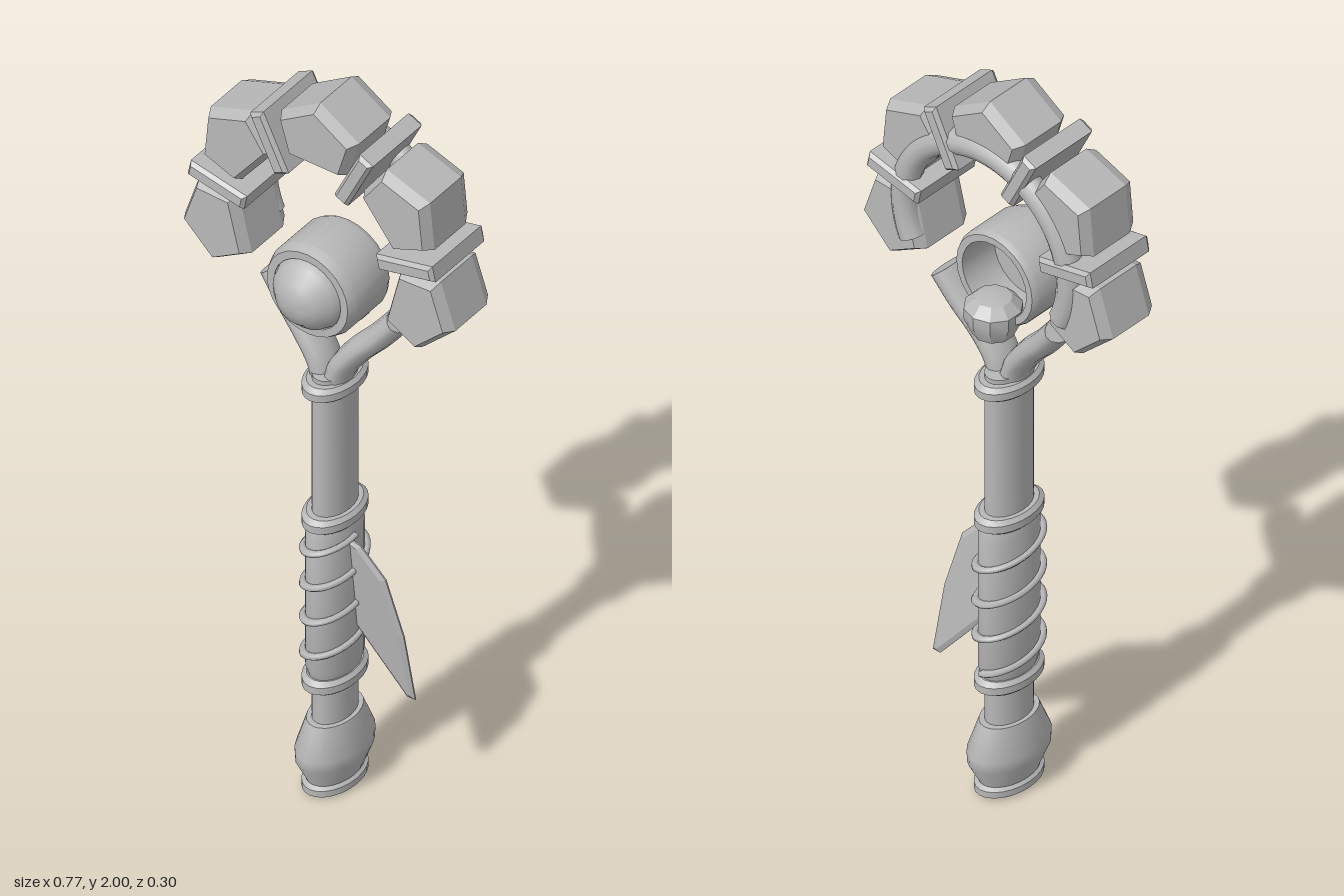
import * as THREE from 'three';
import { toCreasedNormals } from 'three/addons/utils/BufferGeometryUtils.js';

const ZC = -0.024; // depth of the staff axis
const stone = new THREE.MeshStandardMaterial({ color: 0xb8b8b8 });
stone.name = 'stone grey';

function part(parent, name, geometry) {
  const mesh = new THREE.Mesh(geometry, stone);
  mesh.name = name;
  parent.add(mesh);
  return mesh;
}

const vec2 = (pts) => pts.map(([a, b]) => new THREE.Vector2(a, b));

function lathe(pts, sides = 24, crease = 0.45) {
  return toCreasedNormals(new THREE.LatheGeometry(vec2(pts), sides), crease);
}

// Bevelled plate that keeps its outline and is centred in depth
function plate(pts, depth, bevelZ, bevelXY) {
  const geo = new THREE.ExtrudeGeometry(new THREE.Shape(vec2(pts)), {
    depth: depth - 2 * bevelZ, bevelEnabled: true, bevelSegments: 1,
    bevelThickness: bevelZ, bevelSize: bevelXY, bevelOffset: -bevelXY,
  });
  geo.translate(0, 0, bevelZ - depth / 2);
  return toCreasedNormals(geo, 0.2);
}

class Helix extends THREE.Curve {
  getPoint(t, target = new THREE.Vector3()) {
    const a = Math.PI + t * 7.5 * Math.PI;
    return target.set(0.06 * Math.sin(a), 0.36 + 0.375 * t, 0.06 * Math.cos(a));
  }
}

export function createModel() {
  const model = new THREE.Group();
  model.name = 'staff';

  // Handle: round parts stretched in depth to an oval section
  const handle = new THREE.Group();
  handle.name = 'handle';
  handle.position.z = ZC;
  handle.scale.z = 1.58;
  model.add(handle);

  part(handle, 'shaft', lathe([[0, 0.18], [0.044, 0.18], [0.044, 1.2], [0, 1.2]]));
  part(handle, 'pommel', lathe([[0, 0.01], [0.053, 0.01], [0.056, 0.035], [0.075, 0.09],
    [0.076, 0.12], [0.054, 0.2], [0, 0.2]]));
  part(handle, 'grip', lathe([[0, 0.33], [0.05, 0.33], [0.056, 0.36], [0.056, 0.74],
    [0.05, 0.77], [0, 0.77]]));
  part(handle, 'gripCord', new THREE.TubeGeometry(new Helix(), 120, 0.008, 6));
  for (const [y, h] of [[0.017, 0.034], [0.316, 0.04], [0.784, 0.04], [1.168, 0.04]]) {
    const b = h / 2;
    part(handle, 'collar', lathe([[0, -b], [0.054, -b], [0.063, -b * 0.5], [0.063, b * 0.5],
      [0.054, b], [0, b]])).position.y = y;
  }

  // Forked arms at the top of the shaft
  for (const s of [-1, 1]) {
    const path = new THREE.CatmullRomCurve3([[0.012, 1.16, 0.004], [0.03, 1.22, 0.003],
      [0.075, 1.285, 0], [0.125, 1.34, -0.005], [0.178, 1.408, -0.01]]
      .map(([x, y, z]) => new THREE.Vector3(s * x, y, z)));
    part(handle, 'forkArm', new THREE.TubeGeometry(path, 16, 0.032, 12));
    const cap = part(handle, 'forkArmEnd', new THREE.CircleGeometry(0.032, 12));
    cap.position.copy(path.getPoint(1));
    cap.quaternion.setFromUnitVectors(new THREE.Vector3(0, 0, 1), path.getTangent(1));
  }

  // Thin leaf blade tied to the left of the grip, leaning backwards as it falls
  const leaf = plate([[0.045, 0.725], [0.08, 0.715], [0.145, 0.64], [0.185, 0.48],
    [0.203, 0.295], [0.18, 0.295], [0.045, 0.46]], 0.018, 0.007, 0.012);
  const p = leaf.attributes.position;
  for (let i = 0; i < p.count; i++) {
    p.setZ(i, p.getZ(i) - 0.015 - (0.72 - p.getY(i)) * 0.106);
  }
  leaf.computeVertexNormals();
  part(model, 'leafBlade', leaf);

  // Crown: five pentagonal stones on an open ring, clasped by four bands
  const crown = new THREE.Group();
  crown.name = 'crown';
  crown.position.set(0, 1.605, -0.028);
  model.add(crown);

  const step = THREE.MathUtils.degToRad(52);
  const block = plate([[0, 0.395], [-0.11, 0.325], [-0.079, 0.22], [0.079, 0.22],
    [0.11, 0.325]], 0.178, 0.028, 0.014);
  const band = plate([[-0.021, 0.192], [0.021, 0.192], [0.021, 0.355], [-0.021, 0.355]],
    0.211, 0.01, 0.008);
  for (let i = -2; i <= 2; i++) part(crown, 'crownStone', block).rotation.z = i * step;
  for (let i = -1.5; i <= 1.5; i++) part(crown, 'crownBand', band).rotation.z = i * step;

  const arc = step * 4.4;
  const ring = part(crown, 'crownRing', new THREE.TorusGeometry(0.257, 0.034, 10, 48, arc));
  ring.rotation.z = Math.PI / 2 - arc / 2;
  ring.position.z = -0.068;

  // Lamp: open-backed barrel with a domed lens in front
  const lamp = new THREE.Group();
  lamp.name = 'lamp';
  lamp.position.y = 1.475;
  model.add(lamp);
  part(lamp, 'lampBarrel', lathe([[0.1, -0.075], [0.118, -0.075], [0.125, -0.06],
    [0.125, 0.06], [0.115, 0.085], [0.095, 0.085], [0.095, 0.03], [0.1, -0.075]])
    .rotateX(Math.PI / 2));
  part(lamp, 'lampLens', lathe([[0, 0.03], [0.096, 0.03], [0.096, 0.075], [0.086, 0.102],
    [0.055, 0.134], [0.028, 0.145], [0, 0.148]], 24, 0.7).rotateX(Math.PI / 2));

  // Faceted seat under the back of the barrel
  part(model, 'lampSeat', lathe([[0, 1.33], [0.05, 1.33], [0.07, 1.375], [0.07, 1.405],
    [0.045, 1.43], [0, 1.44]], 10)).position.z = -0.078;

  return model;
}
